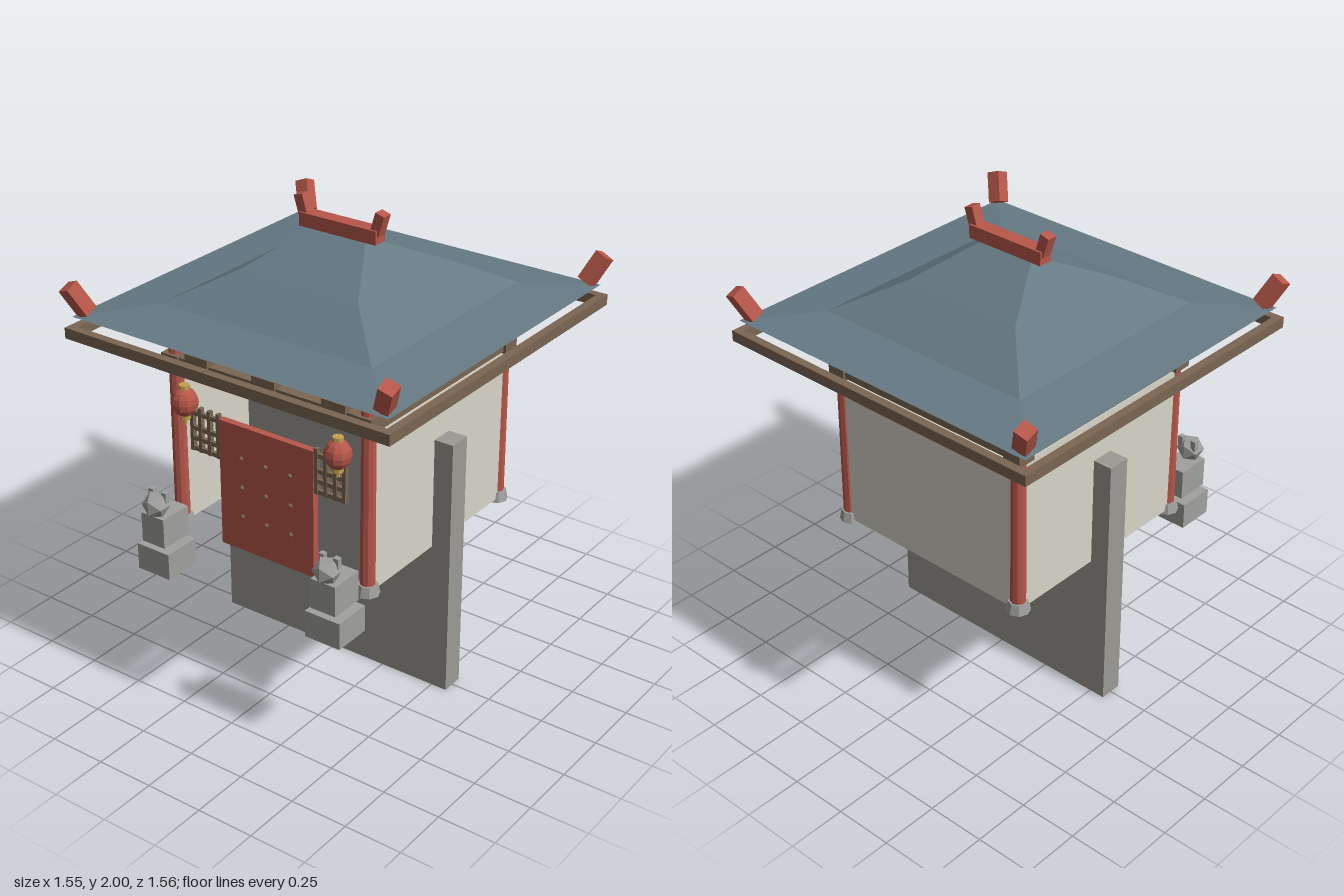
import * as THREE from 'three';

const mat = (color) => new THREE.MeshStandardMaterial({ color, flatShading: true });

export function createModel() {
  const root = new THREE.Group();
  const red = mat(0xb8574a), wood = mat(0x7a6652), tile = mat(0x667a84), wallMat = mat(0xd8d4c8);
  const slabMat = mat(0x9c9a94), stone = mat(0xa0a09e), gold = mat(0xc4a050);

  const add = (name, geo, m, x, y, z, parent = root) => {
    const mesh = new THREE.Mesh(geo, m);
    mesh.name = name;
    mesh.position.set(x, y, z);
    parent.add(mesh);
    return mesh;
  };
  const box = (name, m, w, h, d, x, y, z, parent) =>
    add(name, new THREE.BoxGeometry(w, h, d), m, x, y, z, parent);
  const sides = [-1, 1];

  // Upright slab through the middle
  box('slab', slabMat, 1.14, 1.14, 0.1, 0, 0.57, 0);

  // Three walls, open at the front
  const P = 0.465;
  box('backWall', wallMat, 0.9, 0.67, 0.04, 0, 0.995, -P);
  for (const s of sides) box('sideWall', wallMat, 0.04, 0.67, 0.9, s * P, 0.995, 0);

  // Columns with stone bases and corner blocks
  for (const sx of sides) for (const sz of sides) {
    add('column', new THREE.CylinderGeometry(0.03, 0.032, 0.78, 10), red, sx * P, 1.045, sz * P);
    add('columnBase', new THREE.CylinderGeometry(0.04, 0.05, 0.045, 8), stone, sx * P, 0.668, sz * P);
    box('cornerBlock', wood, 0.082, 0.08, 0.082, sx * P, 1.375, sz * P);
  }

  // Beams with bracket blocks on all four sides, rafter ends at front and back
  for (const s of sides) {
    box('beam', wood, 0.93, 0.065, 0.06, 0, 1.377, s * P);
    box('beam', wood, 0.06, 0.065, 0.93, s * P, 1.377, 0);
    for (const t of [-0.33, 0, 0.33]) {
      box('bracket', wood, 0.11, 0.05, 0.08, t, 1.415, s * P);
      box('bracket', wood, 0.08, 0.05, 0.11, s * P, 1.415, t);
      box('rafterEnd', red, 0.064, 0.045, 0.05, t, 1.485, s * 0.487);
    }
    // Eave frame
    box('eaveFrame', wood, 1.53, 0.045, 0.035, 0, 1.522, s * 0.7475);
    box('eaveFrame', wood, 0.035, 0.045, 1.46, s * 0.7475, 1.522, 0);
  }

  // Hipped roof: rectangular rings [halfX, y, halfZ] from the bottom point to the ridge
  const rings = [[0, 1.457, 0], [0.742, 1.588, 0.742], [0.5, 1.622, 0.5],
    [0.28, 1.745, 0.28], [0.125, 1.872, 0.015], [0, 1.872, 0]];
  const corners = [[1, 1], [1, -1], [-1, -1], [-1, 1]];
  const pos = [];
  for (let i = 0; i < rings.length - 1; i++) {
    for (let k = 0; k < 4; k++) {
      const pt = (r, c) => [c[0] * r[0], r[1], c[1] * r[2]];
      const c0 = corners[k], c1 = corners[(k + 1) % 4];
      const a = pt(rings[i], c0), b = pt(rings[i], c1);
      const c = pt(rings[i + 1], c1), d = pt(rings[i + 1], c0);
      if (i > 0) pos.push(...a, ...b, ...c);
      if (i < rings.length - 2) pos.push(...a, ...c, ...d);
    }
  }
  const roofGeo = new THREE.BufferGeometry();
  roofGeo.setAttribute('position', new THREE.Float32BufferAttribute(pos, 3));
  roofGeo.computeVertexNormals();
  add('roof', roofGeo, tile, 0, 0, 0);

  // Ridge with two horns, and leaning ornaments at the roof corners
  box('ridge', red, 0.365, 0.057, 0.062, 0, 1.898, 0);
  for (const sx of sides) {
    box('ridgeHorn', red, 0.042, 0.09, 0.045, sx * 0.181, 1.95, 0).rotation.z = -sx * 0.3;
    for (const sz of sides) {
      box('cornerOrnament', red, 0.06, 0.13, 0.06, sx * 0.724, 1.66, sz * 0.724)
        .rotation.set(sz * 0.4, 0, -sx * 0.4);
    }
  }

  // Door with studs
  box('door', red, 0.46, 0.555, 0.03, 0, 0.922, 0.482);
  for (const x of [-0.12, 0, 0.12]) for (const y of [0.8, 0.93, 1.06]) {
    add('doorStud', new THREE.SphereGeometry(0.01, 8, 6), wood, x, y, 0.498);
  }

  for (const s of sides) {
    // Lattice window beside the door
    const lattice = new THREE.Group();
    lattice.name = 'lattice';
    root.add(lattice);
    for (const x of [0.24, 0.285, 0.33, 0.372])
      box('latticeUpright', wood, 0.016, 0.195, 0.02, s * x, 1.117, 0.485, lattice);
    for (const y of [1.03, 1.075, 1.12, 1.185])
      box('latticeRail', wood, 0.155, 0.018, 0.016, s * 0.3025, y, 0.485, lattice);

    // Hanging lantern
    const lantern = new THREE.Group();
    lantern.name = 'lantern';
    lantern.position.set(s * 0.372, 1.248, 0.53);
    root.add(lantern);
    add('lanternBody', new THREE.SphereGeometry(0.055, 10, 8), red, 0, 0, 0, lantern).scale.y = 1.12;
    add('lanternCap', new THREE.CylinderGeometry(0.022, 0.022, 0.02, 8), gold, 0, 0.064, 0, lantern);
    add('lanternFoot', new THREE.CylinderGeometry(0.022, 0.022, 0.02, 8), gold, 0, -0.064, 0, lantern);
    add('lanternTassel', new THREE.CylinderGeometry(0.008, 0.008, 0.03, 6), gold, 0, -0.08, 0, lantern);

    // Guardian statue on its pedestal
    const statue = new THREE.Group();
    statue.name = 'guardianStatue';
    statue.position.set(s * 0.423, 0, 0.62);
    root.add(statue);
    box('pedestal', stone, 0.163, 0.115, 0.165, 0, 0.583, 0, statue);
    box('statueBody', stone, 0.115, 0.13, 0.15, 0, 0.725, 0.002, statue);
    add('statueHead', new THREE.IcosahedronGeometry(0.058, 0), stone, 0, 0.832, 0.05, statue);
    for (const e of sides) box('statueEar', stone, 0.023, 0.045, 0.023, e * 0.033, 0.867, 0.03, statue);
  }
  return root;
}
